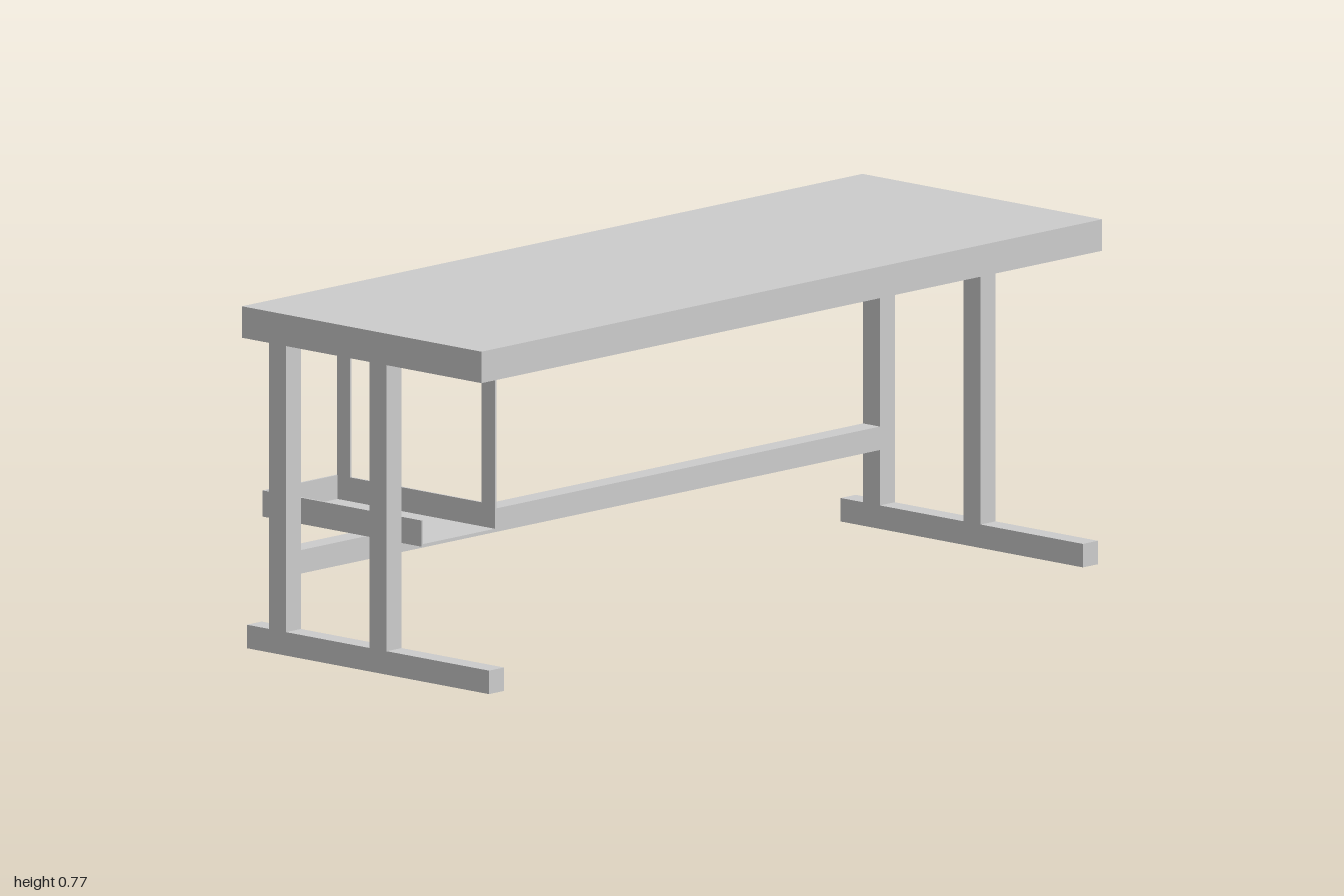
import * as THREE from 'three';

const solid = new THREE.MeshStandardMaterial({ color: 0xcccccc, flatShading: true });
const hollow = new THREE.MeshStandardMaterial({ color: 0xcccccc, flatShading: true, side: THREE.DoubleSide });

// Box given by its extents on each axis; openBack leaves off the -z face
function block(name, [x0, x1], [y0, y1], [z0, z1], openBack = false) {
  const geometry = new THREE.BoxGeometry(x1 - x0, y1 - y0, z1 - z0);
  if (openBack) {
    geometry.setIndex(Array.from(geometry.index.array).slice(0, 30));
    geometry.clearGroups();
  }
  geometry.translate((x0 + x1) / 2, (y0 + y1) / 2, (z0 + z1) / 2);
  const mesh = new THREE.Mesh(geometry, openBack ? hollow : solid);
  mesh.name = name;
  return mesh;
}

export function createModel() {
  const desk = new THREE.Group();
  desk.name = 'desk';

  // Table top, hollow and open along the back
  desk.add(block('tableTop', [-1, 1], [0.704, 0.775], [-0.364, 0.364], true));

  // Left and right leg frames: a long foot with two posts
  for (const side of [1, -1]) {
    const frame = new THREE.Group();
    frame.name = side > 0 ? 'leftLegFrame' : 'rightLegFrame';
    const x = side > 0 ? [0.933, 0.981] : [-0.981, -0.933];
    frame.add(
      block('foot', x, [0, 0.053], [-0.367, 0.369], true),
      block('frontPost', x, [0.053, 0.704], [0.006, 0.058]),
      block('backPost', x, [0.053, 0.704], [-0.299, -0.248])
    );
    desk.add(frame);
  }

  // Rail between the back posts
  desk.add(block('stretcher', [-0.933, 0.933], [0.178, 0.231], [-0.299, -0.248]));

  // Hanging tray: floor, two sides and a back, open at the front
  const tray = new THREE.Group();
  tray.name = 'tray';
  const t = 0.005, x0 = -0.932, x1 = -0.69, y0 = 0.29, y1 = 0.349, z0 = -0.366, z1 = 0.117;
  tray.add(
    block('trayFloor', [x0, x1], [y0, y0 + t], [z0, z1], true),
    block('trayOuterSide', [x0, x0 + t], [y0 + t, y1], [z0, z1]),
    block('trayInnerSide', [x1 - t, x1], [y0 + t, y1], [z0, z1]),
    block('trayBack', [x0 + t, x1 - t], [y0 + t, y1], [z0, z0 + t]),
    block('frontHanger', [x1 - t, x1], [y1, 0.704], [0.076, z1]),
    block('backHanger', [x1 - t, x1], [y1, 0.704], [-0.363, -0.323])
  );
  desk.add(tray);

  return desk;
}
